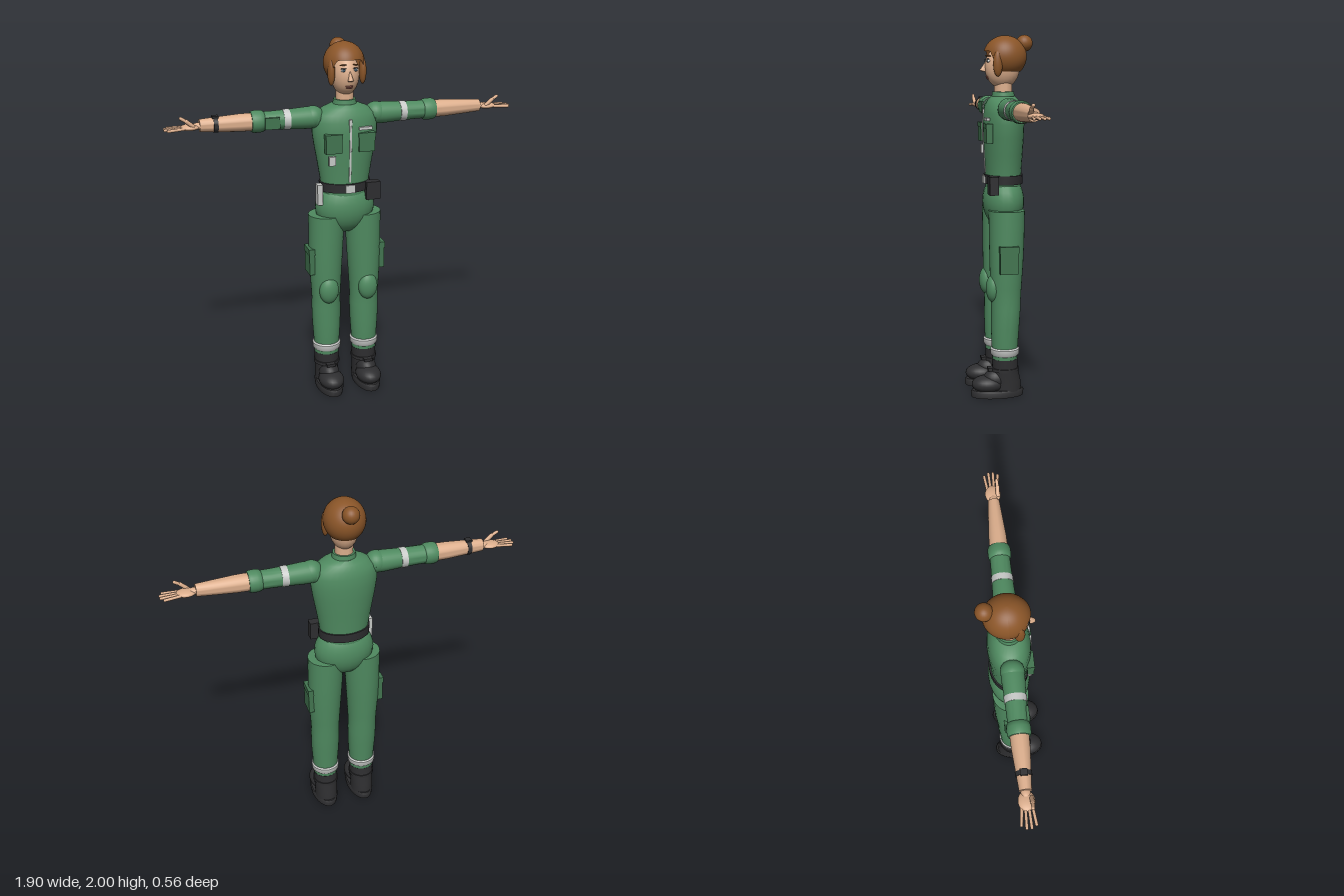
import * as THREE from 'three';
import { toCreasedNormals } from 'three/addons/utils/BufferGeometryUtils.js';

const mat = (name, color, side = THREE.FrontSide) => {
  const m = new THREE.MeshStandardMaterial({ color, side });
  m.name = name;
  return m;
};

export function createModel() {
  const green = mat('green cloth', 0x4f8a60);
  const darkGreen = mat('dark green cloth', 0x427550);
  const skin = mat('skin', 0xdcae8c);
  const hairMat = mat('brown hair', 0x8a5528, THREE.DoubleSide);
  const black = mat('black leather', 0x2e2e30);
  const silver = mat('reflective silver', 0xc8cac8);
  const white = mat('eye white', 0xeeeeea);
  const iris = mat('iris', 0x3d5566);
  const lip = mat('lip', 0x8f5548);

  const root = new THREE.Group();
  root.name = 'uniformedFigure';
  const body = new THREE.Group();
  body.name = 'body';
  body.rotation.y = -0.25; // the whole figure is turned slightly
  root.add(body);

  const add = (name, geo, material, x = 0, y = 0, z = 0) => {
    const m = new THREE.Mesh(geo, material);
    m.name = name;
    m.position.set(x, y, z);
    body.add(m);
    return m;
  };
  const box = (name, material, w, h, d, x, y, z) =>
    add(name, new THREE.BoxGeometry(w, h, d), material, x, y, z);
  const ball = (name, material, rx, ry, rz, x, y, z) =>
    add(name, new THREE.SphereGeometry(1, 24, 16).scale(rx, ry, rz), material, x, y, z);

  // Elliptical sections [height, rx, rz, cx, cz], listed from bottom to top
  const loft = (sections, open = false) => {
    const n = sections.length - 1;
    const g = new THREE.CylinderGeometry(1, 1, 1, 32, n, open);
    const p = g.attributes.position;
    for (let i = 0; i < p.count; i++) {
      const [h, rx, rz, cx = 0, cz = 0] = sections[Math.round((p.getY(i) + 0.5) * n)];
      p.setXYZ(i, p.getX(i) * rx + cx, h, p.getZ(i) * rz + cz);
    }
    return toCreasedNormals(g, 0.75);
  };

  // Capsule between two points
  const limb = (name, material, a, b, r) => {
    const A = new THREE.Vector3(...a), B = new THREE.Vector3(...b);
    const d = B.clone().sub(A);
    const m = add(name, new THREE.CapsuleGeometry(r, d.length(), 4, 10), material);
    m.position.copy(A).add(B).multiplyScalar(0.5);
    m.quaternion.setFromUnitVectors(new THREE.Vector3(0, 1, 0), d.normalize());
    return m;
  };

  // Torso, pelvis, collar and neck
  add('torso', loft([
    [1.17, 0.133, 0.098], [1.25, 0.138, 0.1], [1.35, 0.155, 0.106], [1.45, 0.173, 0.112],
    [1.52, 0.183, 0.114], [1.58, 0.182, 0.11], [1.62, 0.168, 0.1], [1.65, 0.125, 0.085],
    [1.67, 0.075, 0.065],
  ]), green);
  ball('pelvis', green, 0.169, 0.155, 0.115, 0, 1.09, 0);
  add('collar', loft([[1.645, 0.07, 0.068], [1.67, 0.065, 0.063], [1.695, 0.06, 0.06]]), green);
  add('neck', loft([[1.65, 0.052, 0.052], [1.7, 0.049, 0.05], [1.8, 0.05, 0.05]]), skin);

  // Belt and items carried on it
  add('belt', loft([[1.19, 0.143, 0.107], [1.24, 0.145, 0.108]]), black);
  box('buckle', silver, 0.056, 0.044, 0.014, 0, 1.213, 0.107);
  box('beltPouch', black, 0.08, 0.1, 0.05, 0.135, 1.19, 0.08);
  box('beltCase', silver, 0.03, 0.115, 0.045, -0.157, 1.178, 0.04);

  // Chest details
  for (const s of [-1, 1]) {
    box('chestPocket', darkGreen, 0.09, 0.1, 0.035, s * 0.092, 1.47, 0.1);
    box('chestPocketFlap', darkGreen, 0.094, 0.025, 0.039, s * 0.092, 1.512, 0.1);
  }
  box('nameStrip', silver, 0.074, 0.016, 0.02, 0.085, 1.548, 0.105);
  box('idCard', silver, 0.038, 0.05, 0.02, -0.1, 1.377, 0.1);
  const zip = add('zipper', loft([
    [1.25, 0.006, 0.004, 0, 0.1], [1.35, 0.006, 0.004, 0, 0.106], [1.45, 0.006, 0.004, 0, 0.112],
    [1.52, 0.006, 0.004, 0, 0.114], [1.6, 0.006, 0.004, 0, 0.106],
  ]), silver);
  zip.position.z = 0.001;
  box('zipperPull', silver, 0.016, 0.03, 0.008, 0, 1.585, 0.112);

  // Arms, stretched out to both sides
  const armY = 1.602;
  for (const s of [-1, 1]) {
    const along = (name, material, sections) =>
      add(name, loft(sections).rotateZ(-s * Math.PI / 2), material, 0, armY, 0);
    ball('shoulder', green, 0.062, 0.06, 0.062, s * 0.178, 1.605, 0);
    along('sleeve', green, [
      [0.16, 0.058, 0.06], [0.22, 0.059, 0.06], [0.3, 0.054, 0.056], [0.4, 0.05, 0.053], [0.48, 0.05, 0.052],
    ]);
    along('sleeveBand', silver, [[0.31, 0.056, 0.058], [0.345, 0.055, 0.056]]);
    along('rolledCuff', green, [
      [0.448, 0.05, 0.052], [0.455, 0.057, 0.058], [0.475, 0.06, 0.061], [0.505, 0.059, 0.06],
      [0.518, 0.054, 0.055],
    ]);
    along('forearm', skin, [
      [0.49, 0.048, 0.049], [0.58, 0.047, 0.047], [0.7, 0.04, 0.038], [0.79, 0.034, 0.031],
    ]);
    ball('wrist', skin, 0.035, 0.018, 0.024, s * 0.797, 1.6, 0);
    ball('palm', skin, 0.052, 0.017, 0.042, s * 0.838, 1.597, 0);
    [-0.03, -0.01, 0.01, 0.03].forEach((z, i) => {
      const tip = [0.952, 0.968, 0.968, 0.955][i];
      limb('finger', skin, [s * 0.865, 1.596, z * 0.85], [s * tip, 1.592, z * 1.2], 0.008);
    });
    limb('thumb', skin, [s * 0.825, 1.605, 0.025], [s * 0.86, 1.635, 0.027], 0.011);
    limb('thumbTip', skin, [s * 0.86, 1.635, 0.027], [s * 0.888, 1.652, 0.025], 0.009);
  }
  box('sleevePocket', darkGreen, 0.08, 0.062, 0.025, -0.412, 1.597, 0.047);
  add('watchStrap', loft([[0.695, 0.043, 0.042], [0.718, 0.042, 0.041]]).rotateZ(Math.PI / 2), black, 0, armY, 0);
  box('watchFace', black, 0.034, 0.012, 0.036, -0.707, 1.643, 0);

  // Legs and boots
  for (const s of [-1, 1]) {
    const c = s * 0.113;
    add('trouserLeg', loft([
      [0.2, 0.069, 0.069, c, 0.012], [0.3, 0.074, 0.074, c, 0.012], [0.4, 0.081, 0.079, c, 0.01],
      [0.5, 0.083, 0.082, c, 0.006], [0.55, 0.081, 0.083, c, 0.006], [0.62, 0.085, 0.087, c, 0.006],
      [0.75, 0.093, 0.093, c, 0.003], [0.88, 0.098, 0.097, s * 0.11, 0.001], [1.05, 0.101, 0.1, s * 0.106, 0],
    ]), green);
    ball('kneePad', green, 0.056, 0.078, 0.04, s * 0.115, 0.615, 0.078);
    box('thighPocket', darkGreen, 0.03, 0.15, 0.1, s * 0.205, 0.785, 0.005);
    box('thighPocketFlap', darkGreen, 0.036, 0.035, 0.106, s * 0.205, 0.845, 0.005);
    add('ankleBand', loft([
      [0.235, 0.073, 0.073, c, 0.012], [0.243, 0.08, 0.08, c, 0.012], [0.272, 0.081, 0.081, c, 0.012],
      [0.28, 0.074, 0.074, c, 0.012],
    ]), silver);

    add('bootShaft', loft([
      [0.03, 0.066, 0.08, c, 0], [0.09, 0.066, 0.078, c, 0.002], [0.15, 0.069, 0.072, c, 0.01],
      [0.215, 0.071, 0.071, c, 0.012],
    ]), black);
    ball('bootToe', black, 0.072, 0.05, 0.095, c, 0.07, 0.105);
    ball('bootInstep', black, 0.058, 0.06, 0.075, c, 0.095, 0.06);
    add('bootStrap', loft([[0.145, 0.074, 0.078, c, 0.012], [0.163, 0.074, 0.078, c, 0.012]]), black);
    box('bootStrapTab', black, 0.05, 0.016, 0.05, c, 0.155, 0.085);
    add('bootSole', loft([
      [0, 0.072, 0.146, c, 0.055], [0.03, 0.076, 0.15, c, 0.055], [0.04, 0.07, 0.144, c, 0.055],
    ]), black);
  }

  // Head and face
  ball('head', skin, 0.076, 0.115, 0.098, 0, 1.828, 0.005);
  add('nose', new THREE.ConeGeometry(0.016, 0.06, 12).scale(1, 1, 1.2), skin, 0, 1.835, 0.104)
    .rotation.x = -0.3;
  ball('noseTip', skin, 0.013, 0.011, 0.014, 0, 1.815, 0.113);
  ball('upperLip', lip, 0.022, 0.006, 0.008, 0, 1.776, 0.088);
  ball('lowerLip', lip, 0.019, 0.006, 0.008, 0, 1.767, 0.085);
  for (const s of [-1, 1]) {
    ball('eye', white, 0.014, 0.009, 0.008, s * 0.033, 1.862, 0.087);
    ball('iris', iris, 0.007, 0.008, 0.004, s * 0.033, 1.862, 0.094);
    ball('upperLash', black, 0.016, 0.003, 0.006, s * 0.033, 1.871, 0.09);
    const brow = ball('eyebrow', hairMat, 0.019, 0.004, 0.007, s * 0.035, 1.889, 0.085);
    brow.rotation.set(0, s * 0.4, -s * 0.12);
    ball('ear', skin, 0.012, 0.026, 0.018, s * 0.08, 1.845, 0.012);
    ball('sideLock', hairMat, 0.02, 0.07, 0.026, s * 0.087, 1.847, 0.045);
  }

  // Hair cap with its hem raised over the face, and a bun
  const capAngle = 2.5;
  const cap = new THREE.SphereGeometry(1, 48, 20, 0, Math.PI * 2, 0, capAngle);
  const p = cap.attributes.position;
  for (let i = 0; i < p.count; i++) {
    const phi = Math.atan2(p.getX(i), p.getZ(i));
    const hem = 2.35 - 1.05 * THREE.MathUtils.smoothstep(Math.cos(phi), 0.4, 0.85);
    const t = Math.acos(THREE.MathUtils.clamp(p.getY(i), -1, 1)) / capAngle * hem;
    p.setXYZ(i, 0.111 * Math.sin(t) * Math.sin(phi), 0.115 * Math.cos(t), 0.12 * Math.sin(t) * Math.cos(phi));
  }
  cap.computeVertexNormals();
  add('hair', cap, hairMat, 0, 1.885, -0.01);
  ball('hairBun', hairMat, 0.046, 0.046, 0.046, 0, 1.958, -0.118);

  return root;
}
